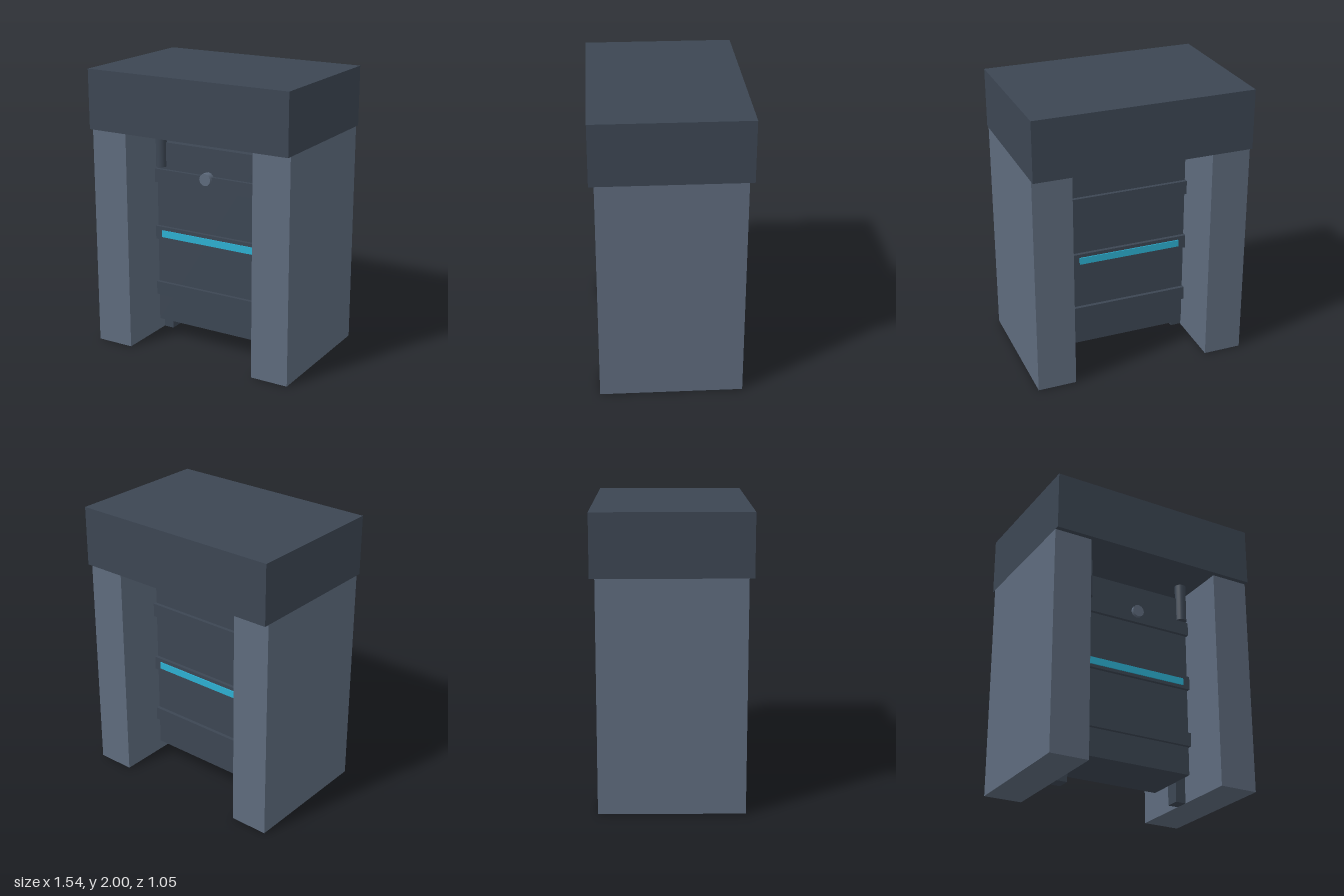
import * as THREE from 'three';

const darkMetal = new THREE.MeshStandardMaterial({ color: 0x3c4653 });
darkMetal.name = 'dark metal';
const slateStone = new THREE.MeshStandardMaterial({ color: 0x5e6b7d });
slateStone.name = 'slate stone';
const cyanGlow = new THREE.MeshStandardMaterial({ color: 0x2db0d2 });
cyanGlow.name = 'cyan glow';

export function createModel() {
  const model = new THREE.Group();
  model.name = 'liftGate';

  function add(name, geometry, material, x, y, z) {
    const mesh = new THREE.Mesh(geometry, material);
    mesh.name = name;
    mesh.position.set(x, y, z);
    model.add(mesh);
    return mesh;
  }

  // Box centred on z = 0, given by its x centre, width, bottom, top and depth
  function block(name, material, x, width, bottom, top, depth) {
    return add(name, new THREE.BoxGeometry(width, top - bottom, depth), material, x, (bottom + top) / 2, 0);
  }

  // Heavy beam over the opening
  block('lintel', darkMetal, 0, 1.54, 1.58, 2, 1.05);

  // Pillars, guide rails and lifting pistons on both sides
  for (const [side, s] of [['left', 1], ['right', -1]]) {
    block(side + 'Pillar', slateStone, s * 0.633, 0.274, 0, 1.58, 0.98);
    block(side + 'Rail', darkMetal, s * 0.458, 0.076, 0, 1.58, 0.1);
    add(side + 'Piston', new THREE.CylinderGeometry(0.04, 0.04, 0.28, 16), darkMetal, s * 0.385, 1.44, 0.22);
  }

  // Sliding door with three raised bands
  block('door', darkMetal, 0, 0.84, 0.14, 1.475, 0.444);
  for (const [name, bottom] of [['lowerBand', 0.34], ['middleBand', 0.763], ['upperBand', 1.185]]) {
    block(name, darkMetal, 0, 0.85, bottom, bottom + 0.097, 0.494);
  }

  // Light strips on the middle band, front and back
  for (const [name, s] of [['frontLightStrip', 1], ['backLightStrip', -1]]) {
    add(name, new THREE.BoxGeometry(0.74, 0.05, 0.008), cyanGlow, 0, 0.81, s * 0.25);
  }

  // Round lock on the front
  const lock = add('lock', new THREE.CylinderGeometry(0.044, 0.044, 0.052, 12), slateStone, 0, 1.265, 0.245);
  lock.rotation.x = Math.PI / 2;

  return model;
}
